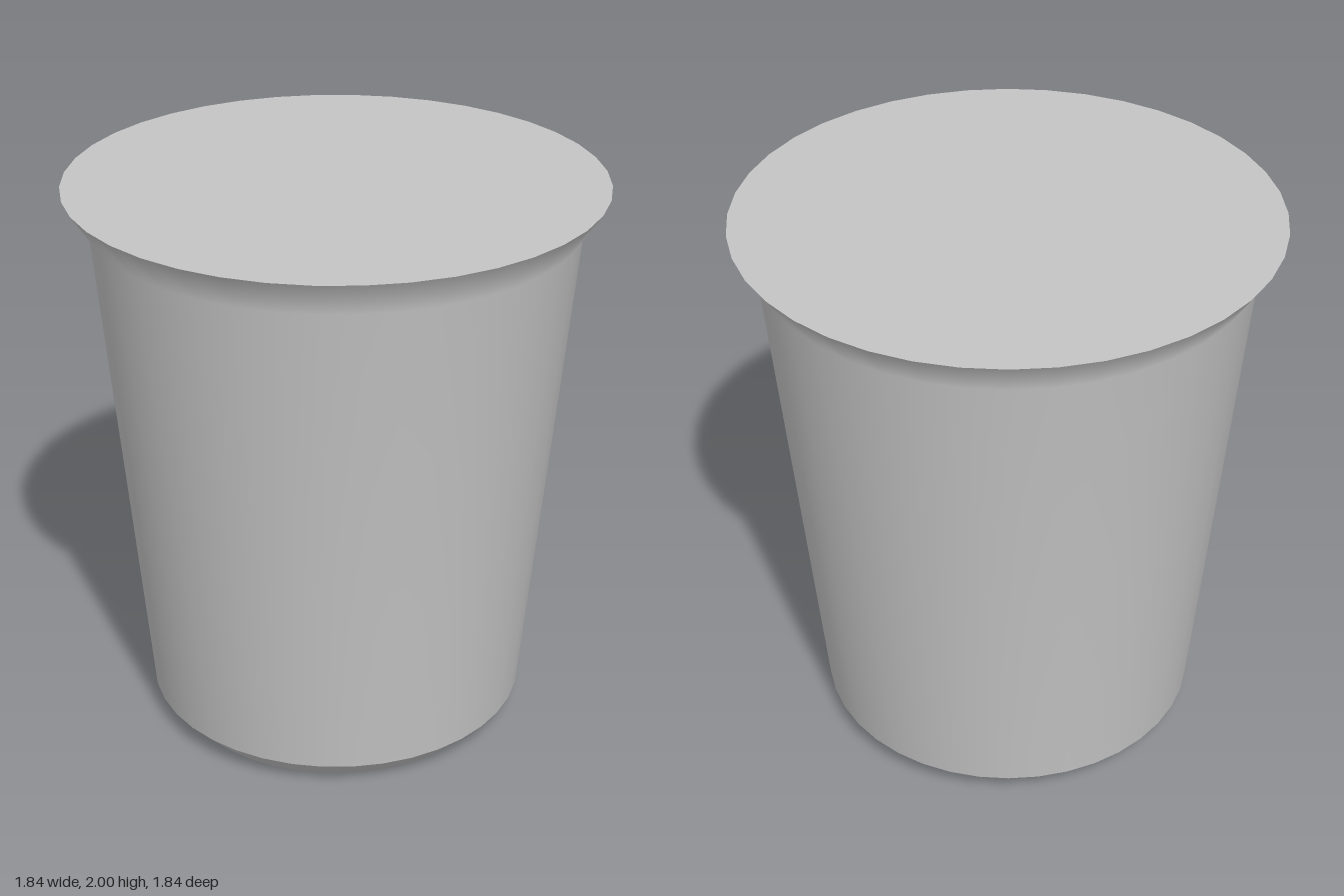
import * as THREE from 'three';
import { mergeVertices } from 'three/addons/utils/BufferGeometryUtils.js';

const SIDES = 40;

// Surface of revolution with smooth, area-weighted normals and no seam
function turned(profile) {
  const geometry = new THREE.LatheGeometry(profile.map(([r, y]) => new THREE.Vector2(r, y)), SIDES);
  geometry.deleteAttribute('uv');
  geometry.deleteAttribute('normal');
  const merged = mergeVertices(geometry, 1e-4);
  merged.computeVertexNormals();
  return merged;
}

export function createModel() {
  const group = new THREE.Group();
  group.name = 'cup';
  const grey = new THREE.MeshStandardMaterial({ color: 0xc4c4c4 });
  grey.name = 'light grey';

  const add = (name, geometry) => {
    const mesh = new THREE.Mesh(geometry, grey);
    mesh.name = name;
    group.add(mesh);
    return mesh;
  };

  // Tapered wall blending into the flared rim
  add('wallAndRim', turned([[0.68, 0.09], [0.835, 1.87], [0.92, 2]]));

  // Bevel around the foot
  add('footBevel', turned([[0.595, 0], [0.68, 0.09]]));

  // Flat closing discs
  const lid = add('lid', new THREE.CircleGeometry(0.92, SIDES));
  lid.rotation.x = -Math.PI / 2;
  lid.position.y = 2;
  const base = add('base', new THREE.CircleGeometry(0.595, SIDES));
  base.rotation.x = Math.PI / 2;

  return group;
}
